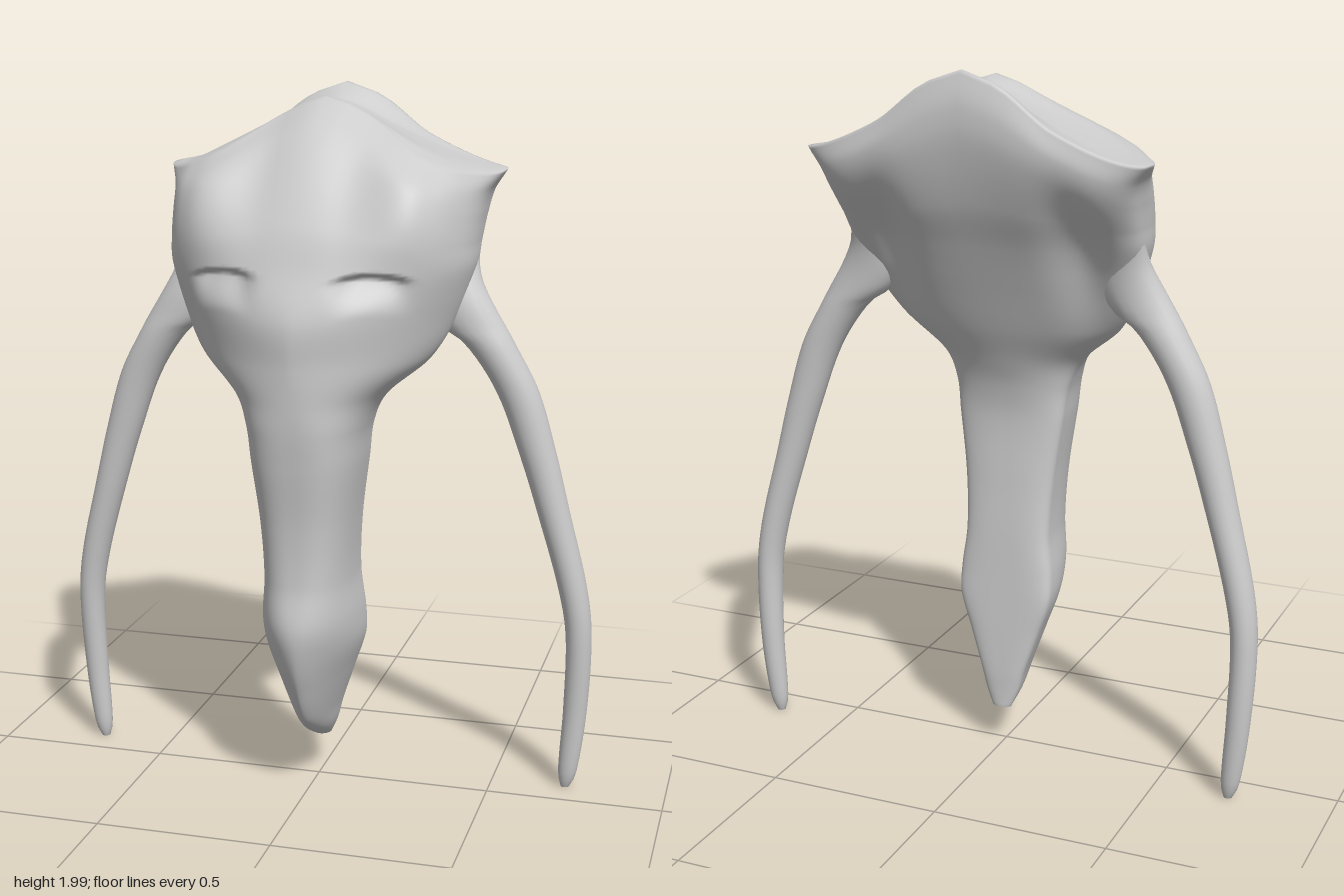
import * as THREE from 'three';

const step = THREE.MathUtils.smoothstep;
const gauss = (v, s) => Math.exp(-(v * v) / (s * s));

// Smooth interpolation through the rows of a section table, keyed by row[0] = y
function sample(rows, y) {
  let i = 0;
  while (i < rows.length - 2 && y > rows[i + 1][0]) i++;
  const p = rows[i], q = rows[i + 1];
  const o = rows[Math.max(i - 1, 0)], r = rows[Math.min(i + 2, rows.length - 1)];
  const h = q[0] - p[0], t = (y - p[0]) / h, t2 = t * t, t3 = t2 * t;
  return p.map((v, k) => {
    const m0 = ((q[k] - o[k]) / (q[0] - o[0])) * h;
    const m1 = ((r[k] - v) / (r[0] - p[0])) * h;
    return (2 * t3 - 3 * t2 + 1) * v + (t3 - 2 * t2 + t) * m0 + (3 * t2 - 2 * t3) * q[k] + (t3 - t2) * m1;
  });
}

// Lofts superellipse sections [y, centreX, halfWidth, zFront, zSide, zBack, nFront, nBack]
function loft(rows, rings, sides, caps, shape = (p) => p) {
  const pos = [], index = [];
  const y0 = rows[0][0], y1 = rows[rows.length - 1][0];
  const levels = [];
  for (let c = 0; c < caps; c++) levels.push([y0, c / caps]);
  for (let i = 0; i <= rings; i++) levels.push([y0 + ((y1 - y0) * i) / rings, 1]);
  for (let c = caps - 1; c >= 0; c--) levels.push([y1, c / caps]);
  for (const [y, s] of levels) {
    const [, cx, w, zF, zS, zB, nF, nB] = sample(rows, y);
    for (let j = 0; j < sides; j++) {
      const a = (j / sides) * Math.PI * 2, c = Math.cos(a), d = Math.sin(a);
      const n = d >= 0 ? nF : nB;
      const x = Math.sign(c) * Math.abs(c) ** (2 / n) * w;
      const z = Math.abs(d) ** (2 / n) * ((d >= 0 ? zF : zB) - zS);
      const mid = (zF + zB) / 2;
      const p = new THREE.Vector3(cx + x * s, y, mid + (zS + z - mid) * s);
      pos.push(...shape(p, y, d, s).toArray());
    }
  }
  for (let i = 0; i < levels.length - 1; i++) {
    for (let j = 0; j < sides; j++) {
      const a = i * sides + j, b = i * sides + ((j + 1) % sides);
      index.push(a, a + sides, b, b, a + sides, b + sides);
    }
  }
  const g = new THREE.BufferGeometry();
  g.setAttribute('position', new THREE.Float32BufferAttribute(pos, 3));
  g.setIndex(index);
  g.computeVertexNormals();
  return g;
}

// Head and long snout, from the tip up to the crest
const headRows = [
  [0.13, 0, 0.028, -0.005, -0.035, -0.05, 2, 2],
  [0.18, 0, 0.05, 0.09, -0.025, -0.05, 1.8, 2.4],
  [0.24, 0, 0.066, 0.165, -0.02, -0.05, 1.7, 3],
  [0.36, 0, 0.106, 0.235, -0.005, -0.045, 1.7, 3.5],
  [0.46, 0, 0.138, 0.272, 0.005, -0.04, 1.8, 4],
  [0.54, 0, 0.14, 0.283, 0.015, -0.036, 2.1, 3.5],
  [0.66, 0, 0.127, 0.265, 0.02, -0.03, 2.6, 3],
  [0.82, 0, 0.134, 0.267, 0.03, -0.02, 2.8, 2.6],
  [1.0, 0, 0.157, 0.29, 0.04, -0.014, 2.8, 2.4],
  [1.1, 0, 0.171, 0.302, 0.05, -0.03, 2.6, 2.2],
  [1.18, 0, 0.21, 0.307, 0.055, -0.06, 2.1, 2],
  [1.28, 0, 0.325, 0.311, 0.03, -0.107, 1.65, 2],
  [1.4, 0, 0.39, 0.312, -0.015, -0.157, 1.7, 2.2],
  [1.53, 0, 0.427, 0.265, -0.06, -0.212, 2.2, 2.6],
  [1.65, 0, 0.432, 0.22, -0.095, -0.265, 2.5, 2.8],
  [1.8, 0, 0.438, 0.13, -0.14, -0.308, 2.8, 3.2],
  [1.9, 0, 0.45, 0.04, -0.18, -0.318, 3, 3.5],
  [1.97, 0, 0.482, -0.07, -0.21, -0.3, 3, 3.5],
];

function shapeHead(p, y, d, s) {
  const ax = Math.abs(p.x);
  const t = step(y, 1.45, 1.97);
  if (d > 0) {
    // closed eyes: a shallow hollow with a sharp arched lid above it
    const e = (ax - 0.205) / 0.08;
    const below = 1.54 - 0.014 * e * e - p.y;
    if (below > 0) p.z -= 0.038 * Math.exp(-(e ** 4)) * step(below, 0, 0.016) * (1 - step(below, 0.012, 0.12));
    // full shoulders at both sides of the forehead
    p.z += 0.14 * t * s * d * step(ax, 0.1, 0.32) * (1 - 0.6 * step(ax, 0.36, 0.48));
  } else if (s === 1) {
    // grooves between the back plate and the ears
    p.z += 0.04 * gauss(ax - 0.28, 0.07) * gauss(y - 1.55, 0.22);
  }
  // crest falls away to the ears, with a raised rear rim and a soft top
  p.y -= 0.2 * t * step(ax / 0.48, 0, 1.1) ** 0.72;
  if (y > 1.85) {
    p.y += 0.03 * step(y, 1.85, 1.97) * step(-p.z, 0.2, 0.29) * (1 - step(ax, 0.1, 0.25));
    p.y -= 0.015 * step(1 - s, 0, 0.8);
    // rounded brow edge
    p.y -= 0.02 * Math.max(d, 0) * step(ax, 0.1, 0.3) * step(s, 0.75, 1) * step(y, 1.85, 1.97);
  }
  return p;
}

// Long curved tusk, tip to root; the root runs up into the head as a ridge
const tuskRows = (side) => [
  [0.01, 0.712, 0.012, -0.097, 0.012],
  [0.05, 0.717, 0.026, -0.097, 0.024],
  [0.25, 0.734, 0.034, -0.096, 0.034],
  [0.48, 0.738, 0.037, -0.086, 0.042],
  [0.62, 0.717, 0.041, -0.08, 0.045],
  [0.84, 0.658, 0.046, -0.07, 0.047],
  [1.0, 0.612, 0.052, -0.065, 0.049],
  [1.18, 0.55, 0.06, -0.06, 0.052],
  [1.31, 0.471, 0.071, -0.055, 0.055],
  [1.35, 0.43, 0.09, -0.055, 0.055],
  [1.42, 0.388, 0.09, -0.057, 0.055],
  [1.49, 0.37, 0.072, -0.07, 0.052],
  [1.57, 0.37, 0.058, -0.1, 0.047],
  [1.66, 0.38, 0.042, -0.135, 0.042],
  [1.74, 0.39, 0.02, -0.165, 0.02],
].map(([y, cx, w, z, d]) => [y, cx * side, w, z + d, z, z - d, 2, 2]);

export function createModel() {
  const group = new THREE.Group();
  const material = new THREE.MeshStandardMaterial({ color: 0xcccccc });
  const add = (name, geometry) => {
    const mesh = new THREE.Mesh(geometry, material);
    mesh.name = name;
    group.add(mesh);
  };
  add('head', loft(headRows, 200, 128, 16, shapeHead));
  add('leftTusk', loft(tuskRows(1), 70, 20, 3));
  add('rightTusk', loft(tuskRows(-1), 70, 20, 3));
  return group;
}
